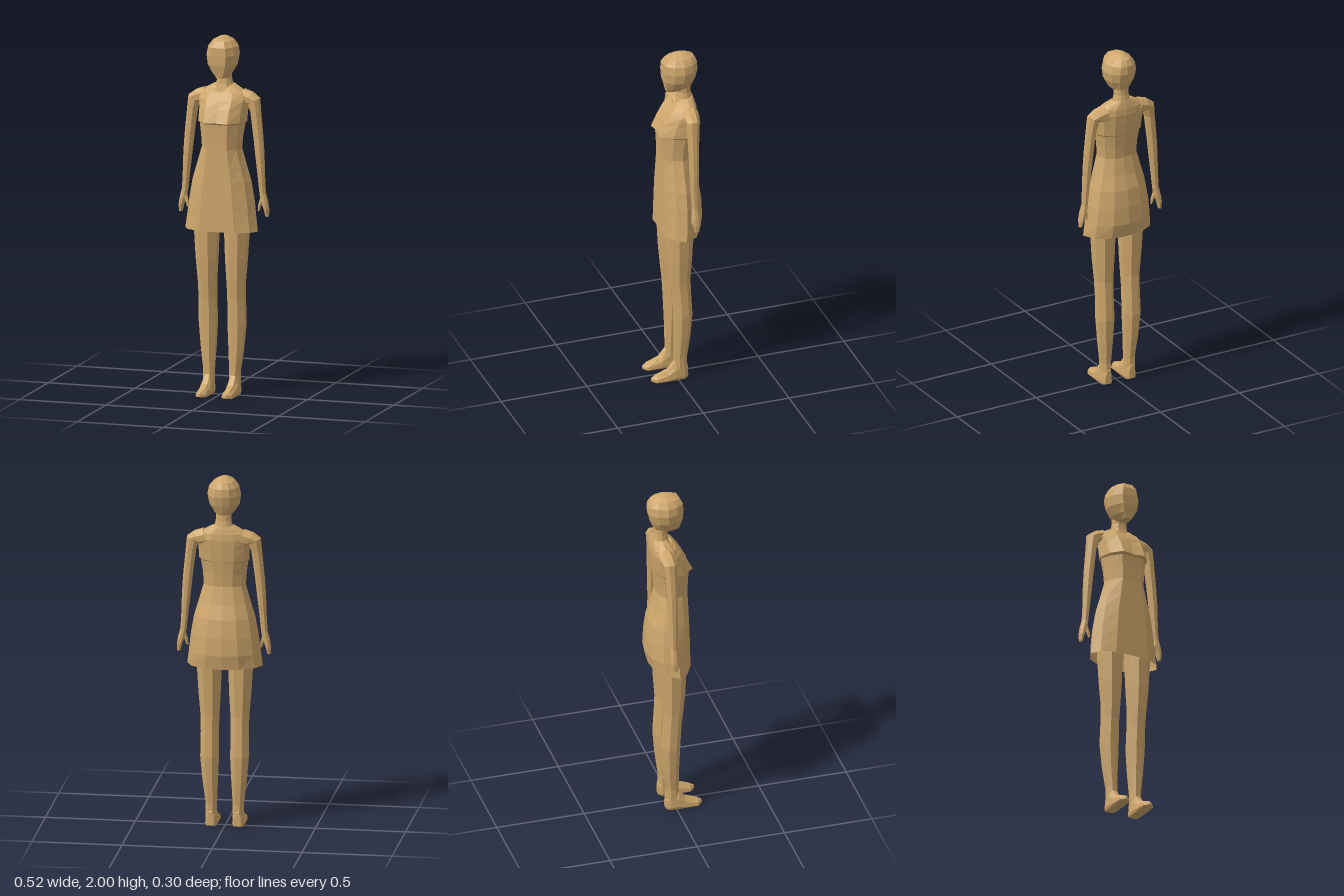
import * as THREE from 'three';

const tan = new THREE.MeshStandardMaterial({ color: 0xcfa76c, flatShading: true, side: THREE.DoubleSide });
tan.name = 'tan';

// Skin between rings of [x, y, z] points; side = -1 mirrors the part in x.
function loft(name, rings, { capStart = true, capEnd = true, side = 1 } = {}) {
  const pos = [];
  const tri = (...p) => {
    if (side < 0) p.reverse();
    p.forEach(([x, y, z]) => pos.push(x * side, y, z));
  };
  const centre = r => [0, 1, 2].map(k => r.reduce((s, p) => s + p[k], 0) / r.length);
  const n = rings[0].length;
  const first = rings[0], last = rings[rings.length - 1];
  for (let i = 0; i < n; i++) {
    const j = (i + 1) % n;
    for (let r = 0; r < rings.length - 1; r++) {
      const a = rings[r], b = rings[r + 1];
      tri(a[i], a[j], b[j]);
      tri(a[i], b[j], b[i]);
    }
    if (capStart) tri(centre(first), first[j], first[i]);
    if (capEnd) tri(centre(last), last[i], last[j]);
  }
  const geo = new THREE.BufferGeometry();
  geo.setAttribute('position', new THREE.Float32BufferAttribute(pos, 3));
  geo.computeVertexNormals();
  const mesh = new THREE.Mesh(geo, tan);
  mesh.name = name;
  return mesh;
}

// Twelve-sided body section: half width, front z, back z, side z, front dip, centre hollow
function bodyRing([y, w, zf, zb, zs = (zf + zb) / 2, dip = 0, hollow = 0]) {
  const half = [[0, 1], [0.48, 1], [0.85, 0.55], [1, 0], [0.83, -0.55], [0.45, -0.92], [0, -1]];
  const pts = half.map(([u, v], i) => {
    const z = zs + (v > 0 ? v * (zf - zs) : -v * (zb - zs)) - (i === 0 ? hollow : 0);
    return [u * w, y - (v > 0 ? dip * v * (1 - u) : 0), z];
  });
  return [...pts, ...pts.slice(1, 6).reverse().map(([x, py, z]) => [-x, py, z])];
}

// Eight-sided limb section, optionally tilted about z
function limbRing([x, y, z, rx, rz, tilt = 0]) {
  return Array.from({ length: 8 }, (_, i) => {
    const a = (i + 0.5) * Math.PI / 4, u = Math.sin(a) * rx * 1.07;
    return [x + u * Math.cos(tilt), y + u * Math.sin(tilt), z + Math.cos(a) * rz * 1.07];
  });
}

// Flat-soled foot section
function footRing([z, w, y0, y1]) {
  const section = [[1, 0.15], [0.9, 0.6], [0.4, 1], [-0.4, 1], [-0.9, 0.6], [-1, 0.15], [-0.85, 0], [0.85, 0]];
  return section.map(([u, v]) => [0.075 + u * w, y0 + v * (y1 - y0), z]);
}

export function createModel() {
  const model = new THREE.Group();
  model.name = 'figure';

  // Head with chin, and neck
  model.add(loft('head', [
    [1.772, 0.03, 0.038, -0.09],
    [1.80, 0.058, 0.043, -0.107],
    [1.845, 0.085, 0.053, -0.125],
    [1.90, 0.094, 0.056, -0.139],
    [1.945, 0.084, 0.054, -0.137],
    [1.977, 0.058, 0.034, -0.12],
    [1.996, 0.024, -0.01, -0.08],
    [2.0, 0.006, -0.035, -0.055],
  ].map(bodyRing)));
  model.add(loft('neck', [
    [1.66, 0.065, -0.01, -0.12],
    [1.73, 0.05, -0.027, -0.108],
    [1.76, 0.043, -0.03, -0.102],
    [1.81, 0.043, -0.02, -0.1],
  ].map(bodyRing)));

  // Bodice and flared skirt, open at the hem
  model.add(loft('dress', [
    [0.92, 0.21, 0.08, -0.135, -0.01],
    [1.0, 0.2, 0.079, -0.152, -0.015],
    [1.1, 0.188, 0.078, -0.148, -0.02],
    [1.2, 0.17, 0.077, -0.136, -0.02],
    [1.28, 0.146, 0.076, -0.112, -0.02],
    [1.38, 0.117, 0.075, -0.093, -0.02],
    [1.45, 0.122, 0.077, -0.1, -0.02],
    [1.52, 0.132, 0.08, -0.11, -0.03],
    [1.53, 0.14, 0.102, -0.112, -0.035, 0, 0.012],
    [1.6, 0.142, 0.068, -0.12, -0.05, 0, 0.008],
    [1.65, 0.15, 0.037, -0.124, -0.06],
    [1.685, 0.135, 0.01, -0.122, -0.063],
    [1.71, 0.095, -0.004, -0.117, -0.065, 0.02],
    [1.73, 0.058, -0.015, -0.112, -0.067, 0.05],
  ].map(bodyRing), { capStart: false }));

  for (const side of [1, -1]) {
    const word = side > 0 ? 'left' : 'right';

    // Arm from fingertips up and over the shoulder
    model.add(loft(word + 'Arm', [
      [0.25, 1.0, -0.052, 0.009, 0.013],
      [0.246, 1.04, -0.052, 0.014, 0.023],
      [0.235, 1.08, -0.052, 0.019, 0.023],
      [0.224, 1.13, -0.052, 0.017, 0.019],
      [0.217, 1.22, -0.051, 0.019, 0.021],
      [0.208, 1.34, -0.052, 0.024, 0.025],
      [0.199, 1.44, -0.053, 0.026, 0.027],
      [0.183, 1.58, -0.055, 0.028, 0.032],
      [0.171, 1.64, -0.058, 0.037, 0.036, 0.5],
      [0.14, 1.65, -0.061, 0.044, 0.042, 1.0],
      [0.1, 1.66, -0.064, 0.046, 0.045, 1.3],
    ].map(limbRing), { side }));
    model.add(loft(word + 'Thumb', [
      [0.205, 1.03, -0.04, 0.005, 0.006],
      [0.21, 1.06, -0.042, 0.009, 0.01],
      [0.226, 1.11, -0.048, 0.011, 0.012],
    ].map(limbRing), { side }));

    // Leg from ankle to under the skirt
    model.add(loft(word + 'Leg', [
      [0.075, 0.06, -0.02, 0.03, 0.035],
      [0.075, 0.13, -0.019, 0.03, 0.035],
      [0.08, 0.26, -0.027, 0.041, 0.043],
      [0.083, 0.4, -0.03, 0.05, 0.05],
      [0.083, 0.54, -0.022, 0.048, 0.05],
      [0.083, 0.63, -0.015, 0.05, 0.053],
      [0.085, 0.76, -0.014, 0.059, 0.062],
      [0.087, 0.92, -0.015, 0.066, 0.07],
      [0.087, 1.02, -0.016, 0.068, 0.072],
    ].map(limbRing), { side }));

    // Foot from heel to toe
    model.add(loft(word + 'Foot', [
      [-0.058, 0.02, 0.008, 0.085],
      [-0.035, 0.032, 0, 0.11],
      [0.015, 0.034, 0, 0.11],
      [0.055, 0.034, 0, 0.062],
      [0.125, 0.031, 0, 0.036],
      [0.15, 0.006, 0.006, 0.024],
    ].map(footRing), { side }));
  }
  return model;
}
